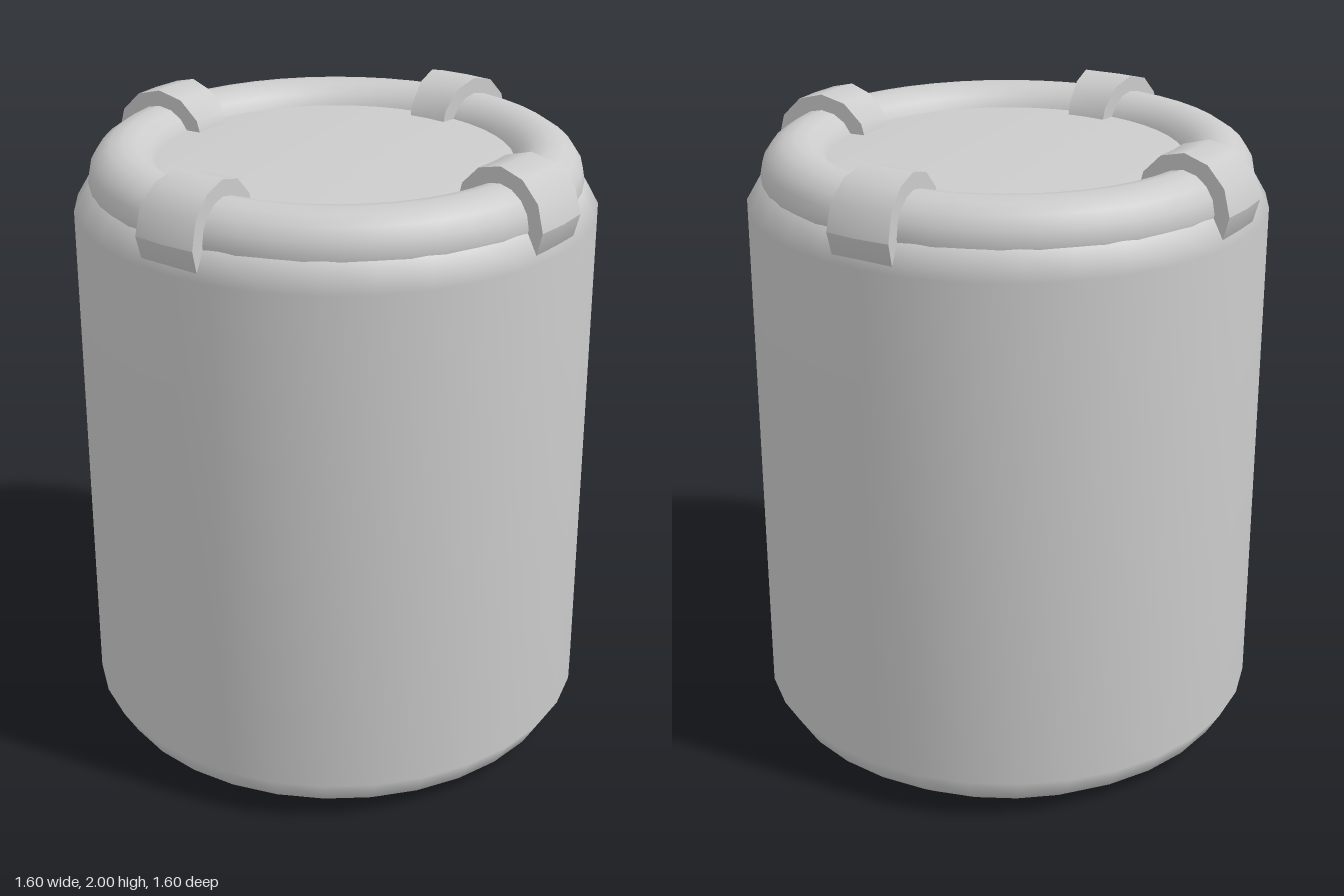
import * as THREE from 'three';

const RING_R = 0.64, RING_Y = 1.84, TUBE = 0.11, CLAMP_TUBE = 0.16;

export function createModel() {
  const group = new THREE.Group();
  const mat = new THREE.MeshStandardMaterial({ color: 0xcccccc });
  const capMat = new THREE.MeshStandardMaterial({ color: 0xcccccc, side: THREE.DoubleSide });

  const add = (parent, name, geometry, material = mat) => {
    const mesh = new THREE.Mesh(geometry, material);
    mesh.name = name;
    parent.add(mesh);
    return mesh;
  };

  // Canister body with bevelled bottom and shoulder
  const profile = [
    [0, 0], [0.67, 0], [0.75, 0.06], [0.797, 0.14],
    [0.797, 1.75], [0.75, 1.83], [0.67, 1.885], [0, 1.885],
  ].map(([r, y]) => new THREE.Vector2(r, y));
  add(group, 'body', new THREE.LatheGeometry(profile, 32));

  // Ring lying on the rim
  const ring = new THREE.TorusGeometry(RING_R, TUBE, 16, 48).rotateX(Math.PI / 2);
  add(group, 'topRing', ring).position.y = RING_Y;

  // Four thick clamps wrapped round the ring
  const halfAngle = 0.13, sides = 12;
  const section = [];
  for (let i = 0; i <= sides; i++) {
    const a = (i / sides) * Math.PI * 2;
    section.push(new THREE.Vector2(RING_R + CLAMP_TUBE * Math.cos(a), CLAMP_TUBE * Math.sin(a)));
  }
  const sleeve = new THREE.LatheGeometry(section, 2, -halfAngle, halfAngle * 2);
  const endCap = new THREE.CircleGeometry(CLAMP_TUBE, sides).translate(RING_R, 0, 0);
  for (let i = 0; i < 4; i++) {
    const clamp = new THREE.Group();
    clamp.name = 'clamp' + (i + 1);
    clamp.position.y = RING_Y;
    clamp.rotation.y = (i * Math.PI) / 2;
    add(clamp, 'clampSleeve', sleeve);
    for (const s of [-1, 1]) {
      add(clamp, 'clampEnd', endCap, capMat).rotation.y = s * halfAngle - Math.PI / 2;
    }
    group.add(clamp);
  }

  return group;
}
